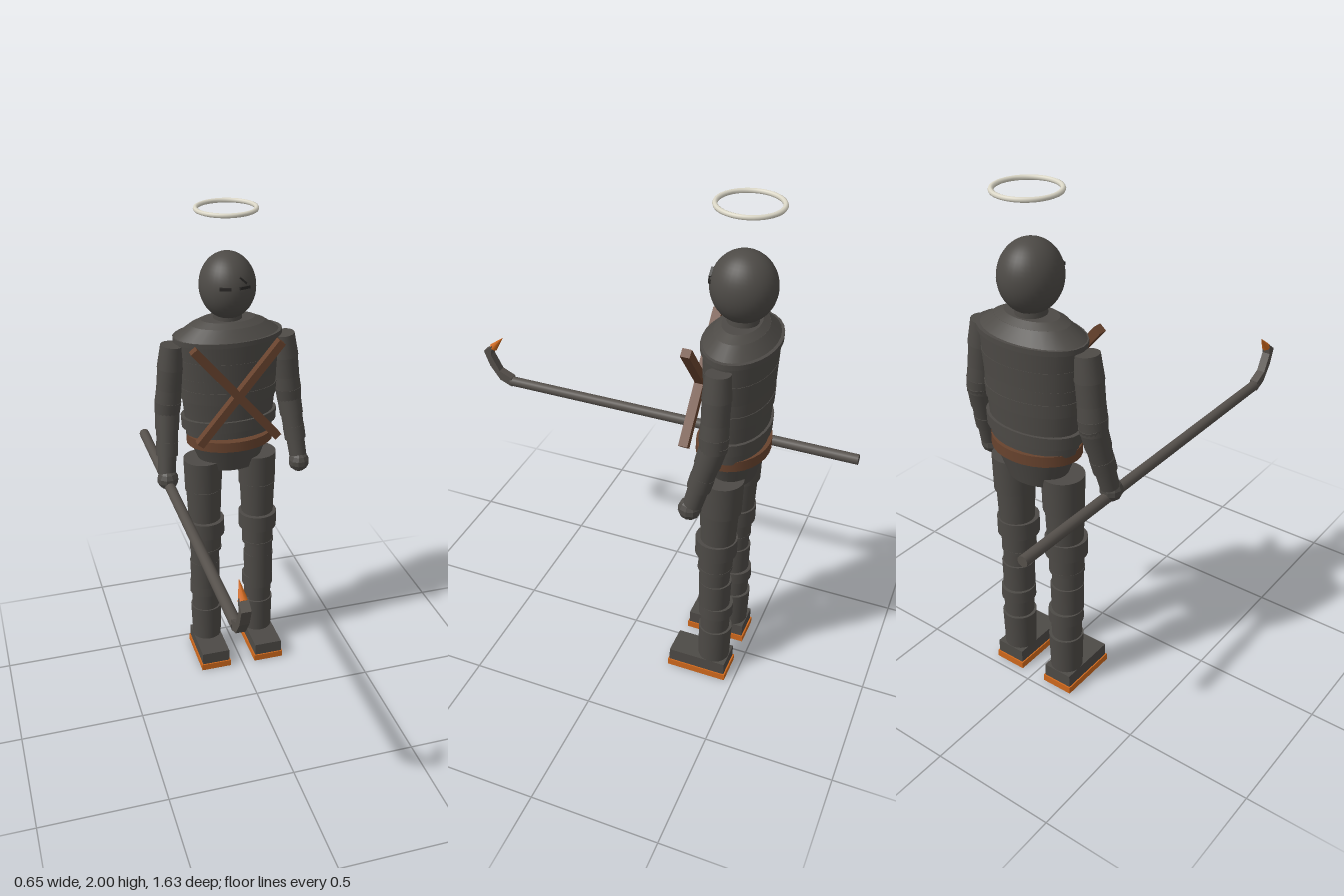
import * as THREE from 'three';

const mat = (name, color, extra = {}) => {
  const m = new THREE.MeshStandardMaterial({ color, ...extra });
  m.name = name;
  return m;
};

export function createModel() {
  const cloth = mat('charcoal cloth', 0x4d4a46);
  const faceted = mat('charcoal cloth faceted', 0x4d4a46, { flatShading: true });
  const steel = mat('dark steel', 0x55504b);
  const dark = mat('black slit', 0x2b2927);
  const leather = mat('brown leather', 0x68432e);
  const orange = mat('orange', 0xd0691c);
  const ivory = mat('ivory', 0xdcd8c8);

  const model = new THREE.Group();
  const Z = -0.4; // the body stands behind the centre of the long pole
  const add = (parent, name, geo, material, x = 0, y = 0, z = 0) => {
    const m = new THREE.Mesh(geo, material);
    m.name = name;
    m.position.set(x, y, z);
    parent.add(m);
    return m;
  };
  // Tapered elliptical drum from y0 to y1
  const drum = (parent, name, material, y0, y1, r0, r1, x, z, depth = 1) => {
    const m = add(parent, name, new THREE.CylinderGeometry(r1, r0, y1 - y0, 28), material, x, (y0 + y1) / 2, z);
    m.scale.z = depth;
    return m;
  };
  // Tapered cylinder between two points
  const rod = (parent, name, material, a, b, r0, r1, sides = 20) => {
    const d = b.clone().sub(a);
    const m = add(parent, name, new THREE.CylinderGeometry(r1, r0, d.length(), sides), material);
    m.position.copy(a).addScaledVector(d, 0.5);
    m.quaternion.setFromUnitVectors(new THREE.Vector3(0, 1, 0), d.normalize());
    return m;
  };

  // Head, halo and face slits
  const head = new THREE.Group();
  head.name = 'head';
  model.add(head);
  add(head, 'skull', new THREE.SphereGeometry(1, 32, 24), cloth, 0, 1.695, -0.396).scale.set(0.111, 0.131, 0.12);
  drum(head, 'neck', cloth, 1.52, 1.6, 0.06, 0.055, 0, Z);
  add(head, 'halo', new THREE.TorusGeometry(0.115, 0.009, 8, 48), ivory, 0, 1.99, Z).rotation.x = Math.PI / 2;
  for (const s of [-1, 1]) {
    add(head, 'eyeSlit', new THREE.BoxGeometry(0.045, 0.011, 0.009), dark, s * 0.037, 1.715, -0.284).rotation.y = s * 0.3;
  }
  add(head, 'browScar', new THREE.BoxGeometry(0.035, 0.007, 0.009), dark, 0.033, 1.742, -0.288).rotation.z = -0.75;

  // Torso: wrapped shell with overlapping strips
  const torso = new THREE.Group();
  torso.name = 'torso';
  model.add(torso);
  drum(torso, 'collar', cloth, 1.545, 1.563, 0.15, 0.11, 0, -0.398, 0.62);
  drum(torso, 'shoulderSlope', cloth, 1.5, 1.545, 0.215, 0.15, 0, Z, 0.61);
  const strips = [ // y0, y1, bottom radius, top radius, tilt
    [1.484, 1.503, 0.222, 0.222, 0.015], [1.4, 1.49, 0.203, 0.212, 0.01],
    [1.33, 1.41, 0.199, 0.206, -0.01], [1.27, 1.34, 0.196, 0.2, 0.02],
    [1.235, 1.285, 0.197, 0.2, -0.02], [1.155, 1.24, 0.184, 0.193, 0],
    [1.115, 1.162, 0.198, 0.2, 0.015], [1.07, 1.12, 0.18, 0.184, 0],
  ];
  for (const [y0, y1, r0, r1, tilt] of strips) {
    drum(torso, 'torsoStrip', cloth, y0, y1, r0, r1, 0, -0.403, 0.62).rotation.z = tilt;
  }
  drum(torso, 'hips', cloth, 0.925, 1.06, 0.118, 0.172, 0, -0.402, 0.69);
  drum(torso, 'belt', leather, 1.04, 1.082, 0.18, 0.18, 0, -0.394, 0.76);

  // Crossed chest straps
  for (const s of [-1, 1]) {
    const strap = add(torso, 'chestStrap', new THREE.BoxGeometry(0.032, 0.525, 0.035),
      leather, s * 0.008, 1.295, -0.255 - s * 0.002);
    strap.rotation.z = -s * 0.7;
  }

  // Limbs, built once per side
  for (const s of [-1, 1]) {
    const arm = new THREE.Group();
    arm.name = s > 0 ? 'leftArm' : 'rightArm';
    model.add(arm);
    const P = (x, y, z) => new THREE.Vector3(s * x, y, z);
    const shoulder = P(0.229, 1.475, -0.393), elbow = P(0.257, 1.195, -0.397), wrist = P(0.281, 0.95, -0.338);
    const wraps = (name, a, b, list) => list.forEach(([t0, t1, r0, r1]) =>
      rod(arm, name, cloth, a.clone().lerp(b, t0), a.clone().lerp(b, t1), r0, r1));
    wraps('upperArmWrap', shoulder, elbow, [
      [0, 0.34, 0.045, 0.053], [0.3, 0.68, 0.051, 0.05], [0.64, 0.88, 0.05, 0.053], [0.84, 1.04, 0.054, 0.05]]);
    wraps('forearmWrap', elbow, wrist, [
      [-0.08, 0.3, 0.05, 0.048], [0.26, 0.55, 0.045, 0.043], [0.5, 0.72, 0.045, 0.044], [0.7, 1.02, 0.038, 0.036]]);
    add(arm, 'hand', new THREE.SphereGeometry(0.044, 10, 7), faceted, s * 0.281, 0.924, -0.326);

    const leg = new THREE.Group();
    leg.name = s > 0 ? 'leftLeg' : 'rightLeg';
    model.add(leg);
    const wrapsDown = [ // y0, y1, bottom radius, top radius, x, z
      [0.82, 0.965, 0.077, 0.08, 0.117, -0.394], [0.68, 0.83, 0.068, 0.074, 0.117, -0.388],
      [0.615, 0.685, 0.081, 0.081, 0.116, -0.382], [0.54, 0.62, 0.066, 0.068, 0.117, -0.383],
      [0.535, 0.548, 0.068, 0.068, 0.117, -0.382], [0.46, 0.536, 0.06, 0.061, 0.121, -0.383],
      [0.355, 0.475, 0.062, 0.064, 0.121, -0.387], [0.31, 0.36, 0.068, 0.067, 0.119, -0.395],
      [0.225, 0.315, 0.058, 0.06, 0.12, -0.394], [0.07, 0.235, 0.062, 0.067, 0.118, -0.396],
    ];
    for (const [y0, y1, r0, r1, x, z] of wrapsDown) drum(leg, 'legWrap', cloth, y0, y1, r0, r1, s * x, z);
    add(leg, 'boot', new THREE.BoxGeometry(0.12, 0.052, 0.235), cloth, s * 0.12, 0.054, -0.343);
    add(leg, 'sole', new THREE.BoxGeometry(0.13, 0.028, 0.246), orange, s * 0.12, 0.014, -0.343);
  }

  // Hooked pole carried in the right hand
  const pole = new THREE.Group();
  pole.name = 'hookedPole';
  model.add(pole);
  const V = (z, y) => new THREE.Vector3(-0.28, y, z);
  rod(pole, 'shaft', steel, V(-0.815, 0.903), V(0.7, 0.903), 0.021, 0.021, 16);
  const outline = new THREE.Shape([
    [-0.69, 0.885], [-0.745, 0.908], [-0.79, 0.97], [-0.815, 1.035], [-0.775, 1.065],
    [-0.782, 1.02], [-0.745, 0.95], [-0.69, 0.925],
  ].map(([u, v]) => new THREE.Vector2(u, v)));
  const hook = add(pole, 'hook', new THREE.ExtrudeGeometry(outline, { depth: 0.034, bevelEnabled: false }), steel, -0.297);
  hook.rotation.y = Math.PI / 2;
  rod(pole, 'hookTip', orange, V(0.776, 1.052), V(0.73, 1.105), 0.018, 0.001, 8);

  return model;
}
